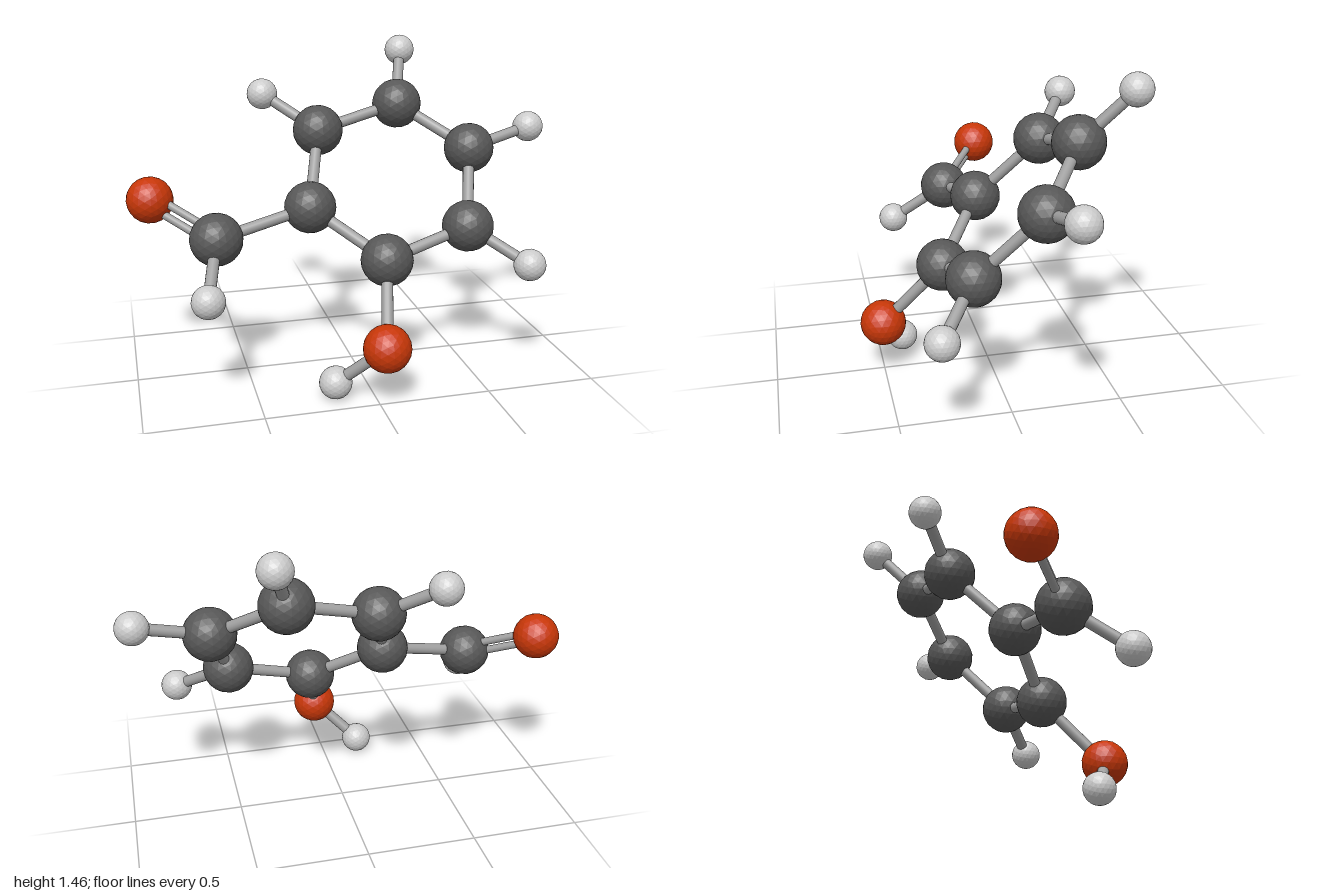
import * as THREE from 'three';

const mat = (color, flatShading) => new THREE.MeshStandardMaterial({ color, flatShading });

// Atom kinds: radius and material
const KINDS = {
  carbon: { radius: 0.118, material: mat(0x585858, true) },
  oxygen: { radius: 0.105, material: mat(0xc83708, true) },
  hydrogen: { radius: 0.073, material: mat(0xcccccc, true) },
};
const bondMaterial = mat(0xa0a0a0, false);

// Atom centres
const ATOMS = {
  ring1: ['carbon', -0.195, 0.765, 0.015],
  ring2: ['carbon', 0.105, 0.56, 0.23],
  ring3: ['carbon', 0.505, 0.67, 0.17],
  ring4: ['carbon', 0.605, 0.97, -0.105],
  ring5: ['carbon', 0.31, 1.16, -0.325],
  ring6: ['carbon', -0.095, 1.06, -0.265],
  sideCarbon: ['carbon', -0.63, 0.67, 0.09],
  sideOxygen: ['oxygen', -0.895, 0.81, -0.125],
  sideHydrogen: ['hydrogen', -0.7, 0.485, 0.35],
  lowerOxygen: ['oxygen', 0.03, 0.26, 0.5],
  lowerHydrogen: ['hydrogen', -0.17, 0.075, 0.39],
  hydrogen3: ['hydrogen', 0.74, 0.52, 0.345],
  hydrogen4: ['hydrogen', 0.925, 1.05, -0.15],
  hydrogen5: ['hydrogen', 0.387, 1.393, -0.54],
  hydrogen6: ['hydrogen', -0.33, 1.215, -0.432],
};

// Single bonds as pairs of atoms; the ring closes on itself
const BONDS = [
  ['ring1', 'sideCarbon'], ['sideCarbon', 'sideHydrogen'],
  ['ring2', 'lowerOxygen'], ['lowerOxygen', 'lowerHydrogen'],
];
for (let i = 1; i <= 6; i++) BONDS.push([`ring${i}`, `ring${(i % 6) + 1}`]);
for (let i = 3; i <= 6; i++) BONDS.push([`ring${i}`, `hydrogen${i}`]);

const centre = (name) => new THREE.Vector3(...ATOMS[name].slice(1));

// Rod between two points
function rod(name, a, b, radius) {
  const dir = b.clone().sub(a);
  const mesh = new THREE.Mesh(
    new THREE.CylinderGeometry(radius, radius, dir.length(), 16), bondMaterial);
  mesh.name = name;
  mesh.position.copy(a).lerp(b, 0.5);
  mesh.quaternion.setFromUnitVectors(new THREE.Vector3(0, 1, 0), dir.normalize());
  return mesh;
}

export function createModel() {
  const model = new THREE.Group();
  model.name = 'molecule';

  // Faceted atom balls
  for (const [name, [kind]] of Object.entries(ATOMS)) {
    const { radius, material } = KINDS[kind];
    const ball = new THREE.Mesh(new THREE.IcosahedronGeometry(radius, 3), material);
    ball.name = `${name}Atom`;
    ball.position.copy(centre(name));
    model.add(ball);
  }

  // Single bonds
  for (const [a, b] of BONDS) model.add(rod(`${a}To${b}Bond`, centre(a), centre(b), 0.026));

  // Double bond: two thinner rods side by side
  const a = centre('sideCarbon');
  const b = centre('sideOxygen');
  const offset = b.clone().sub(a).cross(new THREE.Vector3(0, 0, 1)).setLength(0.025);
  for (const side of [-1, 1]) {
    const shift = offset.clone().multiplyScalar(side);
    model.add(rod('doubleBondRod', a.clone().add(shift), b.clone().add(shift), 0.018));
  }
  return model;
}
